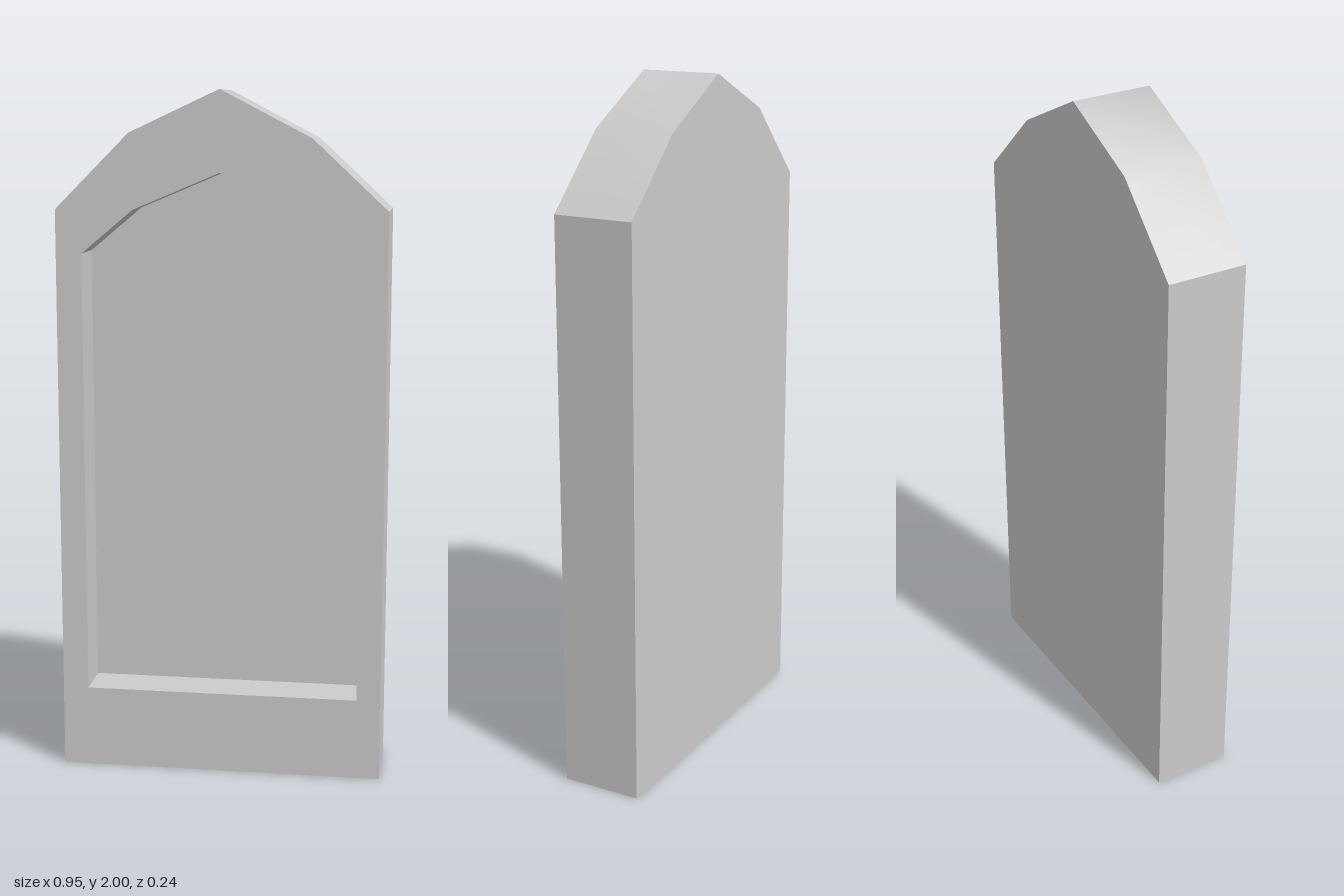
import * as THREE from 'three';

const HALF_DEPTH = 0.118;
const RECESS_Z = -0.017;

// Outlines run counter-clockwise: two bottom corners, then the arch from right to left
const outer = [[-0.475, 0], [0.475, 0], [0.475, 1.665], [0.26, 1.865], [0, 2], [-0.26, 1.88], [-0.475, 1.665]];
const inner = [[-0.4, 0.24], [0.405, 0.24], [0.405, 1.53], [0.26, 1.65], [0, 1.77], [-0.25, 1.665], [-0.4, 1.54]];

const toVectors = (pts) => pts.map(([x, y]) => new THREE.Vector2(x, y));

// Band swept along z, smooth along its length; faces right of the travel direction
function strip(pts, z0, z1) {
  const position = [], index = [];
  pts.forEach(([x, y], i) => {
    position.push(x, y, z0, x, y, z1);
    if (i) {
      const a = 2 * i - 2;
      index.push(a, a + 2, a + 3, a, a + 3, a + 1);
    }
  });
  const geometry = new THREE.BufferGeometry();
  geometry.setAttribute('position', new THREE.Float32BufferAttribute(position, 3));
  geometry.setIndex(index);
  geometry.computeVertexNormals();
  return geometry;
}

export function createModel() {
  const group = new THREE.Group();
  const material = new THREE.MeshStandardMaterial({ color: 0xcccccc });
  const add = (name, geometry) => {
    const mesh = new THREE.Mesh(geometry, material);
    mesh.name = name;
    group.add(mesh);
    return mesh;
  };

  // Front frame around the recess
  const frame = new THREE.Shape(toVectors(outer));
  frame.holes.push(new THREE.Path(toVectors(inner)));
  add('frontFrame', new THREE.ShapeGeometry(frame)).position.z = HALF_DEPTH;

  // Sunken panel and plain back
  add('recessPanel', new THREE.ShapeGeometry(new THREE.Shape(toVectors(inner)))).position.z = RECESS_Z;
  const back = new THREE.ShapeGeometry(new THREE.Shape(toVectors(outer.map(([x, y]) => [-x, y]))));
  add('backFace', back.rotateY(Math.PI)).position.z = -HALF_DEPTH;

  // Smooth arch plus three flat walls, outside and inside the recess
  const addWalls = (prefix, outline, z0, inward) => {
    const run = (pts) => strip(inward ? [...pts].reverse() : pts, z0, HALF_DEPTH);
    const [bottomLeft, bottomRight, ...arch] = outline;
    add(prefix + 'Arch', run(arch));
    add(prefix + 'LeftWall', run([bottomRight, arch[0]]));
    add(prefix + 'RightWall', run([arch[arch.length - 1], bottomLeft]));
    add(prefix + 'Base', run([bottomLeft, bottomRight]));
  };
  addWalls('outer', outer, -HALF_DEPTH, false);
  addWalls('recess', inner, RECESS_Z, true);

  return group;
}
